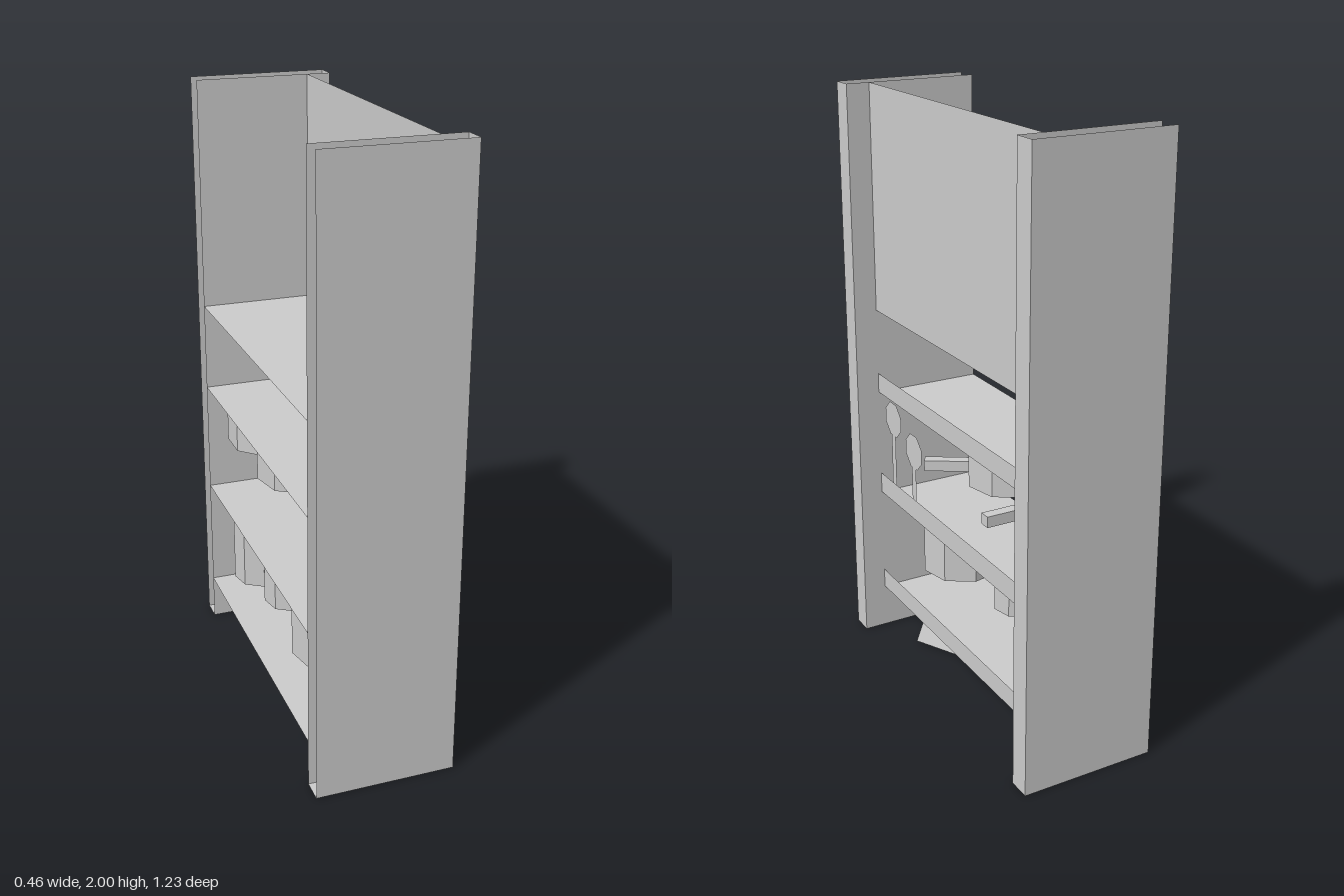
import * as THREE from 'three';

const material = new THREE.MeshStandardMaterial({ color: 0xcccccc, flatShading: true, side: THREE.DoubleSide });
const BACK = -0.23;

export function createModel() {
  const model = new THREE.Group();

  const add = (name, geometry, x, y, z, parent = model) => {
    const mesh = new THREE.Mesh(geometry, material);
    mesh.name = name;
    mesh.position.set(x, y, z);
    parent.add(mesh);
    return mesh;
  };

  // Sheets: front facing +x, level facing down, side facing along z
  const frontSheet = (name, x, y0, y1, z0, z1, parent) =>
    add(name, new THREE.PlaneGeometry(z1 - z0, y1 - y0).rotateY(Math.PI / 2), x, (y0 + y1) / 2, (z0 + z1) / 2, parent);
  const levelSheet = (name, x1, y, z0, z1, parent) =>
    add(name, new THREE.PlaneGeometry(x1 - BACK, z1 - z0).rotateX(Math.PI / 2), (BACK + x1) / 2, y, (z0 + z1) / 2, parent);
  const sideSheet = (name, x1, z, turn, parent) =>
    add(name, new THREE.PlaneGeometry(x1 - BACK, 2).rotateY(turn), (BACK + x1) / 2, 1, z, parent);

  // Hollow end panels, open at the top and the back
  for (const s of [1, -1]) {
    const panel = new THREE.Group();
    panel.name = s > 0 ? 'leftEndPanel' : 'rightEndPanel';
    model.add(panel);
    const z0 = s > 0 ? 0.54 : -0.615, z1 = s > 0 ? 0.615 : -0.54;
    sideSheet('panelSide', 0.23, z1, 0, panel);
    sideSheet('panelSide', 0.23, z0, Math.PI, panel);
    frontSheet('panelEdge', 0.23, 0, 2, z0, z1, panel);
    levelSheet('panelBase', 0.23, 0, z0, z1, panel);
  }

  // Cabinet and shelves: a front strip and a level board
  const boards = [['cabinet', 1.23, 2], ['upperShelf', 0.93, 1.0], ['middleShelf', 0.545, 0.62], ['lowerShelf', 0.16, 0.23]];
  for (const [name, y0, y1] of boards) {
    const group = new THREE.Group();
    group.name = name;
    model.add(group);
    frontSheet(name + 'Front', 0.15, y0, y1, -0.54, 0.54, group);
    levelSheet(name + 'Board', 0.15, y0, -0.54, 0.54, group);
  }

  // Open eight-sided vessels; a flat side faces +x before turning
  const vessel = (name, x, z, radius, y0, y1, turn, hasHandle) => {
    const group = new THREE.Group();
    group.name = name;
    group.position.set(x, 0, z);
    group.rotation.y = turn;
    model.add(group);
    add(name + 'Wall', new THREE.CylinderGeometry(radius, radius, y1 - y0, 8, 1, true, Math.PI / 8), 0, (y0 + y1) / 2, 0, group);
    if (hasHandle) add('panHandle', new THREE.BoxGeometry(0.15, 0.036, 0.036), 0.208, 0.828, 0, group);
  };
  const turn = THREE.MathUtils.degToRad(-32.5);
  vessel('turnedPan', -0.047, -0.047, 0.146, 0.775, 0.93, turn, true);
  vessel('straightPan', -0.053, -0.364, 0.148, 0.775, 0.93, 0, true);
  vessel('largePot', -0.05, 0.297, 0.143, 0.31, 0.545, turn, false);
  vessel('smallPot', -0.08, -0.058, 0.094, 0.31, 0.545, turn, false);
  vessel('smallPot', -0.13, -0.252, 0.092, 0.31, 0.545, turn, false);

  // Flat ladles with eight-sided heads
  for (const [z, y] of [[0.448, 0.855], [0.292, 0.79]]) {
    const ladle = new THREE.Group();
    ladle.name = 'ladle';
    model.add(ladle);
    add('ladleHead', new THREE.CircleGeometry(0.065, 8, Math.PI / 8).rotateY(Math.PI / 2), 0.14, y, z, ladle);
    frontSheet('ladleStem', 0.14, 0.55, y - 0.06, z - 0.015, z + 0.015, ladle);
  }

  // Four-sided tapered bowl under the lowest shelf
  const bowl = add('taperedBowl', new THREE.CylinderGeometry(0.08, 0.133, 0.16, 4, 1, true), -0.02, 0.08, 0.328);
  bowl.rotation.y = THREE.MathUtils.degToRad(-18);

  return model;
}
